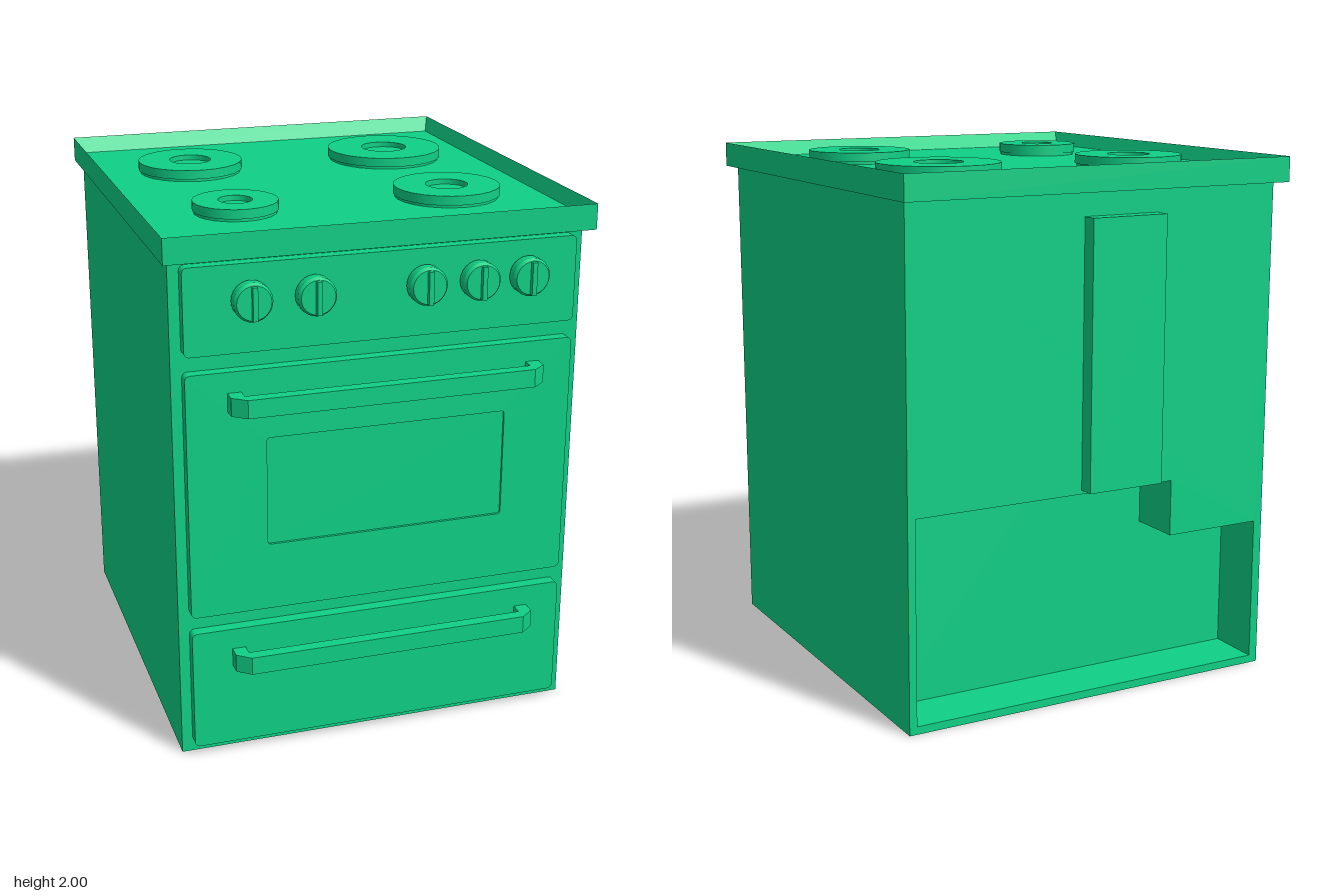
import * as THREE from 'three';

const material = new THREE.MeshStandardMaterial({ color: 0x0fd086 });

function add(parent, name, geometry, x = 0, y = 0, z = 0) {
  const mesh = new THREE.Mesh(geometry, material);
  mesh.name = name;
  mesh.position.set(x, y, z);
  parent.add(mesh);
  return mesh;
}

// Box given by its limits on each axis
function addBox(parent, name, [x0, x1], [y0, y1], [z0, z1]) {
  return add(parent, name, new THREE.BoxGeometry(x1 - x0, y1 - y0, z1 - z0),
    (x0 + x1) / 2, (y0 + y1) / 2, (z0 + z1) / 2);
}

const polygon = (points) => new THREE.Shape(points.map((p) => new THREE.Vector2(...p)));

function roundedRect(x0, x1, y0, y1, r) {
  const s = new THREE.Shape();
  s.absarc(x1 - r, y1 - r, r, 0, Math.PI / 2);
  s.absarc(x0 + r, y1 - r, r, Math.PI / 2, Math.PI);
  s.absarc(x0 + r, y0 + r, r, Math.PI, Math.PI * 1.5);
  s.absarc(x1 - r, y0 + r, r, Math.PI * 1.5, Math.PI * 2);
  s.closePath();
  return s;
}

const extrude = (shape, depth) =>
  new THREE.ExtrudeGeometry(shape, { depth, bevelEnabled: false, curveSegments: 4 });

// Surface through rectangular rings [x0, x1, z0, z1, y], capped at both ends
function ringSurface(rings) {
  const v = [];
  const corners = rings.map(([x0, x1, z0, z1, y]) =>
    [[x0, y, z1], [x1, y, z1], [x1, y, z0], [x0, y, z0]]);
  const quad = (a, b, c, d) => v.push(...a, ...b, ...c, ...a, ...c, ...d);
  for (let i = 0; i < corners.length - 1; i++) {
    for (let k = 0; k < 4; k++) {
      const n = (k + 1) % 4;
      quad(corners[i][k], corners[i][n], corners[i + 1][n], corners[i + 1][k]);
    }
  }
  const [a, b, c, d] = corners[0];
  quad(d, c, b, a);
  quad(...corners[corners.length - 1]);
  const g = new THREE.BufferGeometry();
  g.setAttribute('position', new THREE.Float32BufferAttribute(v, 3));
  g.computeVertexNormals();
  return g;
}

// Lathe with hard edges between profile segments
function addTurned(parent, name, profile, sides) {
  const group = new THREE.Group();
  group.name = name;
  for (let i = 0; i < profile.length - 1; i++) {
    const pair = [profile[i], profile[i + 1]].map((p) => new THREE.Vector2(...p));
    add(group, name + 'Surface', new THREE.LatheGeometry(pair, sides));
  }
  parent.add(group);
  return group;
}

export function createModel() {
  const stove = new THREE.Group();
  stove.name = 'stove';

  // Cabinet, with a stepped recess in the lower back
  addBox(stove, 'cabinet', [-0.77, 0.76], [0, 1.905], [-0.62, 0.76]);
  const back = polygon([[-0.77, 0], [0.76, 0], [0.76, 1.905], [-0.77, 1.905]]);
  back.holes.push(polygon([[-0.735, 0.03], [-0.735, 0.585], [-0.34, 0.585],
    [-0.34, 0.8], [0.73, 0.8], [0.73, 0.03]]));
  add(stove, 'cabinetBack', extrude(back, 0.21), 0, 0, -0.83);
  addBox(stove, 'backDuct', [-0.255, 0.055], [0.815, 1.815], [-0.89, -0.83]);

  // Hob tray: overhanging rim sloping down to a sunken floor
  add(stove, 'hobTray', ringSurface([
    [-0.795, 0.79, -0.892, 0.815, 1.905],
    [-0.795, 0.79, -0.892, 0.815, 2],
    [-0.77, 0.765, -0.84, 0.757, 1.945],
  ]));

  // Hot plates: x, z, radius, radius of the central dip
  for (const [x, z, r, dip] of [[-0.415, -0.38, 0.206, 0.082], [0.405, -0.38, 0.231, 0.092],
    [-0.415, 0.325, 0.158, 0.063], [0.405, 0.325, 0.201, 0.08]]) {
    const plate = addTurned(stove, 'hotPlate', [[r * 0.97, 0], [r * 0.97, 0.01], [r, 0.01],
      [r, 0.045], [dip, 0.045], [dip, 0.025], [0, 0.025]], 24);
    plate.position.set(x, 1.945, z);
  }

  // Front panels
  const front = 0.76, thick = 0.045, face = front + thick;
  add(stove, 'controlPanel', extrude(roundedRect(-0.73, 0.72, 1.57, 1.888, 0.02), thick), 0, 0, front);
  add(stove, 'drawerFront', extrude(roundedRect(-0.73, 0.72, 0.04, 0.51, 0.02), thick), 0, 0, front);
  const door = roundedRect(-0.73, 0.72, 0.575, 1.505, 0.02);
  door.holes.push(roundedRect(-0.44, 0.465, 0.832, 1.245, 0.012));
  add(stove, 'ovenDoor', extrude(door, thick), 0, 0, front);
  addBox(stove, 'ovenWindow', [-0.45, 0.475], [0.82, 1.255], [front, face - 0.01]);

  // Handles: chamfered U shape, drawn in plan and extruded upwards
  const plan = polygon([[-0.58, 0], [-0.53, 0], [-0.53, 0.045], [0.54, 0.045], [0.54, 0],
    [0.59, 0], [0.59, 0.05], [0.54, 0.09], [-0.53, 0.09], [-0.58, 0.05]]);
  for (const [name, top] of [['drawerHandle', 0.43], ['doorHandle', 1.428]]) {
    add(stove, name, extrude(plan, 0.068), 0, top, face).rotation.x = Math.PI / 2;
  }

  // Control knobs with a vertical grip
  for (const x of [-0.495, -0.268, 0.138, 0.338, 0.527]) {
    const knob = new THREE.Group();
    knob.name = 'knob';
    knob.position.set(x, 1.762, face);
    const dial = addTurned(knob, 'dial',
      [[0.064, 0], [0.07, 0.012], [0.07, 0.048], [0.062, 0.06], [0, 0.06]], 24);
    dial.rotation.x = Math.PI / 2;
    addBox(knob, 'grip', [-0.009, 0.009], [-0.06, 0.06], [0.05, 0.078]);
    stove.add(knob);
  }
  return stove;
}
